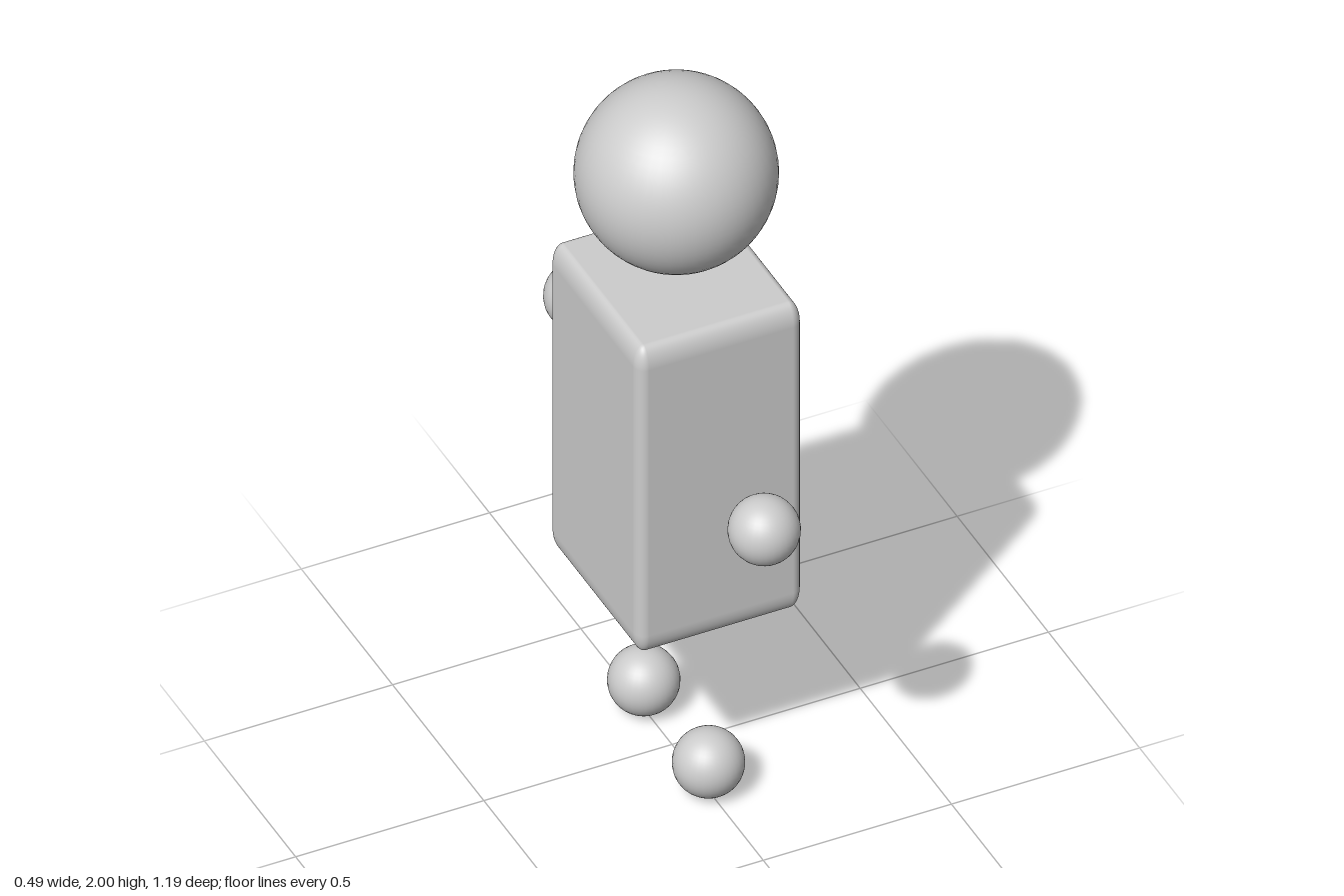
import * as THREE from 'three';
import { RoundedBoxGeometry } from 'three/addons/geometries/RoundedBoxGeometry.js';

export function createModel() {
  const model = new THREE.Group();
  model.name = 'floatingFigure';
  const grey = new THREE.MeshStandardMaterial({ color: 0xcccccc });
  grey.name = 'light grey';

  const add = (name, geometry, x, y, z) => {
    const mesh = new THREE.Mesh(geometry, grey);
    mesh.name = name;
    mesh.position.set(x, y, z);
    model.add(mesh);
  };

  // Torso: a rounded cube stretched to size, so its bevel is taller than wide
  const torso = new RoundedBoxGeometry(1, 1, 1, 6, 0.065);
  torso.scale(0.44, 0.925, 0.495);
  add('torso', torso, 0, 0.988, 0.023);

  add('head', new THREE.SphereGeometry(0.246, 48, 32), 0, 1.754, 0.023);

  // Hands and feet: equal balls, set apart along z
  const ball = new THREE.SphereGeometry(0.088, 32, 24);
  add('frontHand', ball, 0, 1.009, 0.505);
  add('backHand', ball, 0, 1.009, -0.505);
  add('frontFoot', ball, 0, 0.09, 0.2);
  add('backFoot', ball, 0, 0.09, -0.155);

  return model;
}
